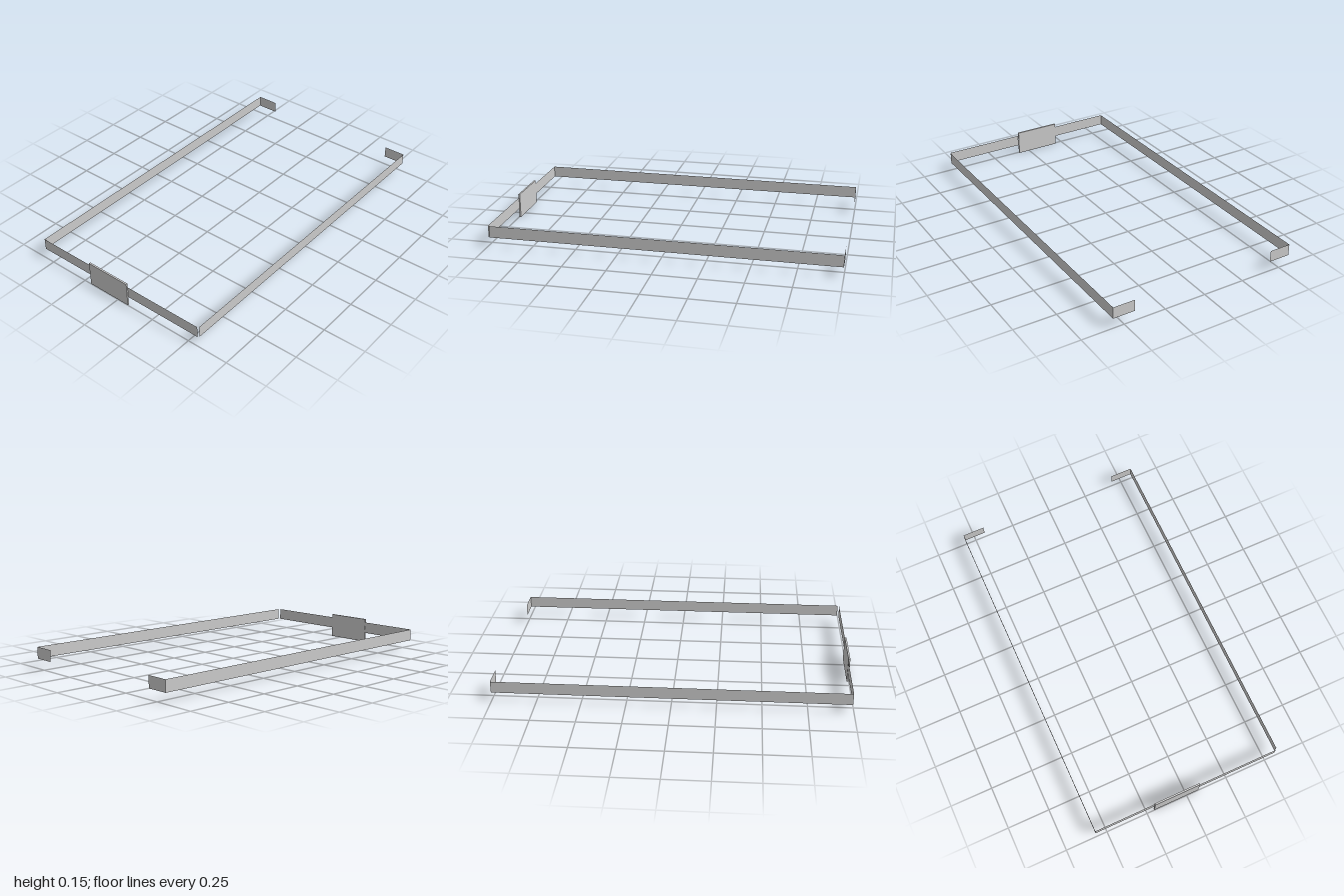
import * as THREE from 'three';

export function createModel() {
  const group = new THREE.Group();
  const material = new THREE.MeshStandardMaterial({
    color: 0xcccccc, flatShading: true, side: THREE.DoubleSide,
  });
  const bottom = 0.057, top = 0.125; // strap height range
  const halfWidth = 0.565, back = -0.998;

  // Flat upright band between two points on the ground plan
  function band(name, x1, z1, x2, z2) {
    const geometry = new THREE.PlaneGeometry(Math.hypot(x2 - x1, z2 - z1), top - bottom);
    const mesh = new THREE.Mesh(geometry, material);
    mesh.name = name;
    mesh.position.set((x1 + x2) / 2, (bottom + top) / 2, (z1 + z2) / 2);
    mesh.rotation.y = -Math.atan2(z2 - z1, x2 - x1);
    group.add(mesh);
  }

  // Side straps and the short tabs folded in at the back
  for (const [side, s, front] of [['left', 1, 0.985], ['right', -1, 0.99]]) {
    band(side + 'SideStrap', s * halfWidth, front, s * halfWidth, back);
    band(side + 'BackTab', s * halfWidth, back, s * (halfWidth - 0.13), back);
  }

  // Front straps on either side of the buckle
  band('rightFrontStrap', -halfWidth, 0.99, -0.203, 0.99);
  band('leftFrontStrap', 0.076, 0.994, 0.558, 0.994);

  // Thin off-centre buckle plate
  const buckle = new THREE.Mesh(new THREE.BoxGeometry(0.276, 0.146, 0.01), material);
  buckle.name = 'buckle';
  buckle.position.set(-0.065, 0.073, 0.994);
  group.add(buckle);

  return group;
}
